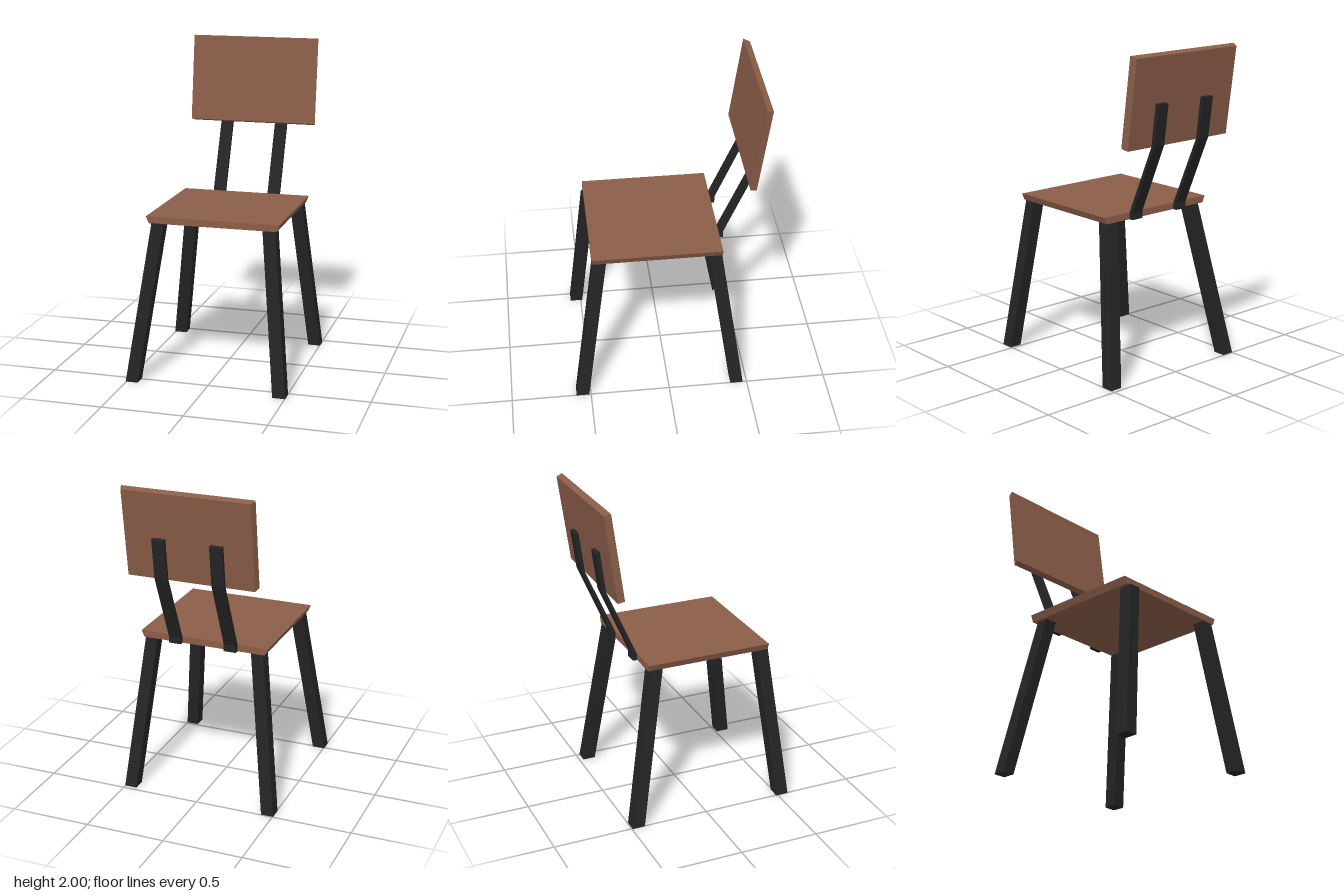
import * as THREE from 'three';

const wood = new THREE.MeshStandardMaterial({ color: 0x8b5d48, flatShading: true });
const metal = new THREE.MeshStandardMaterial({ color: 0x242424, flatShading: true });

function addMesh(group, name, geometry, material) {
  const mesh = new THREE.Mesh(geometry, material);
  mesh.name = name;
  group.add(mesh);
}

// Unit box whose corners are moved by rule(x, y, z) -> [x, y, z], each input 0 or 1.
function shapedBox(rule) {
  const geometry = new THREE.BoxGeometry(1, 1, 1);
  const p = geometry.attributes.position;
  for (let i = 0; i < p.count; i++) {
    p.setXYZ(i, ...rule(p.getX(i) + 0.5, p.getY(i) + 0.5, p.getZ(i) + 0.5));
  }
  geometry.computeVertexNormals();
  return geometry;
}

const lerp = THREE.MathUtils.lerp;

export function createModel() {
  const chair = new THREE.Group();
  chair.name = 'chair';

  // Seat: the sides taper in towards the underside
  addMesh(chair, 'seat', shapedBox((x, y, z) => {
    const inset = y ? 0 : 0.018;
    return [lerp(-0.397 + inset, 0.428 - inset, x), lerp(0.98, 1.022, y), lerp(-0.333, 0.46, z)];
  }), wood);

  // Backrest: leans back, its sides taper in towards the rear
  addMesh(chair, 'backrest', shapedBox((x, y, z) => {
    const inset = z ? 0 : 0.014;
    return [
      lerp(-0.397 + inset, 0.428 - inset, x),
      lerp(1.46, 2, y) - (z ? 0 : 0.013),
      lerp(-0.48, -0.555, y) - (z ? 0 : 0.039),
    ];
  }), wood);

  // Splayed square legs: centre of the foot and of the top end (x, z)
  const legs = {
    frontRightLeg: [[-0.465, 0.53], [-0.32, 0.43]],
    frontLeftLeg: [[0.463, 0.552], [0.362, 0.412]],
    backRightLeg: [[-0.465, -0.456], [-0.32, -0.27]],
    backLeftLeg: [[0.463, -0.435], [0.362, -0.29]],
  };
  for (const [name, [foot, top]] of Object.entries(legs)) {
    addMesh(chair, name, shapedBox((x, y, z) => [
      lerp(foot[0], top[0], y) + (x - 0.5) * 0.078,
      y * 0.982,
      lerp(foot[1], top[1], y) + (z - 0.5) * 0.08,
    ]), metal);
  }

  // Bent straps holding the backrest: side profile (z, y) extruded across x
  const profile = new THREE.Shape([
    [-0.333, 0.98], [-0.333, 1.02], [-0.522, 1.45], [-0.556, 1.708],
    [-0.581, 1.704], [-0.548, 1.458], [-0.361, 1.025], [-0.361, 0.98],
  ].map(([z, y]) => new THREE.Vector2(-z, y)));
  for (const [name, x] of [['rightBackSupport', -0.205], ['leftBackSupport', 0.155]]) {
    const geometry = new THREE.ExtrudeGeometry(profile, { depth: 0.078, bevelEnabled: false });
    geometry.rotateY(Math.PI / 2).translate(x, 0, 0);
    addMesh(chair, name, geometry, metal);
  }

  return chair;
}
